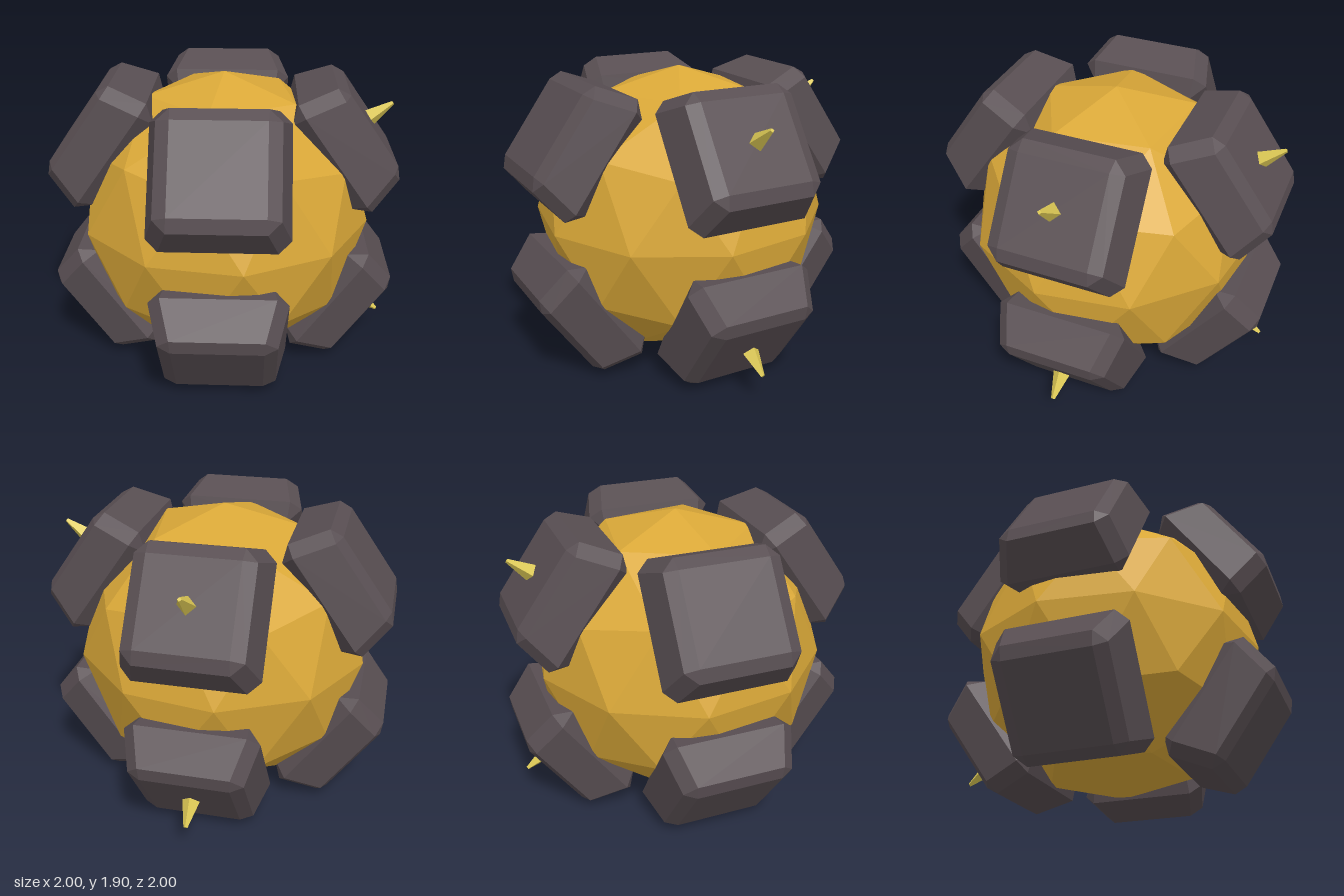
import * as THREE from 'three';
import { ConvexGeometry } from 'three/addons/geometries/ConvexGeometry.js';

const RADIUS = 0.95;

function flat(geometry) {
  const g = geometry.index ? geometry.toNonIndexed() : geometry;
  g.computeVertexNormals();
  return g;
}

// Square cross-section with cut corners: reach of the sides, half length of the sides, height
function ring(reach, half, z) {
  const points = [];
  for (const a of [-1, 1]) for (const b of [-1, 1]) {
    points.push(new THREE.Vector3(a * reach, b * half, z));
    if (reach !== half) points.push(new THREE.Vector3(a * half, b * reach, z));
  }
  return points;
}

export function createModel() {
  const model = new THREE.Group();
  model.name = 'armouredSphere';
  const gold = new THREE.MeshStandardMaterial({ color: 0xdaa838 });
  gold.name = 'gold';
  const charcoal = new THREE.MeshStandardMaterial({ color: 0x584e52 });
  charcoal.name = 'charcoal';
  const brass = new THREE.MeshStandardMaterial({ color: 0xdcc854 });
  brass.name = 'brass';

  // Faceted core, turned so that one corner of the icosahedron points up
  const coreGeometry = new THREE.IcosahedronGeometry(RADIUS, 1);
  coreGeometry.rotateZ(-Math.atan(2 / (1 + Math.sqrt(5))));
  const core = new THREE.Mesh(flat(coreGeometry), gold);
  core.name = 'core';
  core.position.y = RADIUS;
  model.add(core);

  // Bevelled, tapered armour block; local z points away from the core
  const blockGeometry = flat(new ConvexGeometry([
    ...ring(0.33, 0.33, 0.75),
    ...ring(0.42, 0.345, 0.855),
    ...ring(0.355, 0.28, 1.10),
    ...ring(0.275, 0.275, 1.14),
  ]));

  // Four-sided spike standing on a block
  const spikeGeometry = new THREE.CylinderGeometry(0.013, 0.058, 0.18, 4);
  spikeGeometry.rotateX(Math.PI / 2).translate(0, 0, 1.22);
  const spikeFlat = flat(spikeGeometry);

  // One block towards each corner of a cube, spikes on the left half only
  const up = new THREE.Vector3(0, 1, 0);
  for (const sx of [-1, 1]) for (const sy of [-1, 1]) for (const sz of [-1, 1]) {
    const out = new THREE.Vector3(sx, sy, sz).normalize();
    const side = new THREE.Vector3().crossVectors(up, out).normalize();
    const rise = new THREE.Vector3().crossVectors(out, side);
    const plate = new THREE.Group();
    plate.name = 'armourPlate';
    plate.quaternion.setFromRotationMatrix(new THREE.Matrix4().makeBasis(side, rise, out));
    plate.position.y = RADIUS;
    const block = new THREE.Mesh(blockGeometry, charcoal);
    block.name = 'block';
    plate.add(block);
    if (sx > 0) {
      const spike = new THREE.Mesh(spikeFlat, brass);
      spike.name = 'spike';
      plate.add(spike);
    }
    model.add(plate);
  }
  return model;
}
